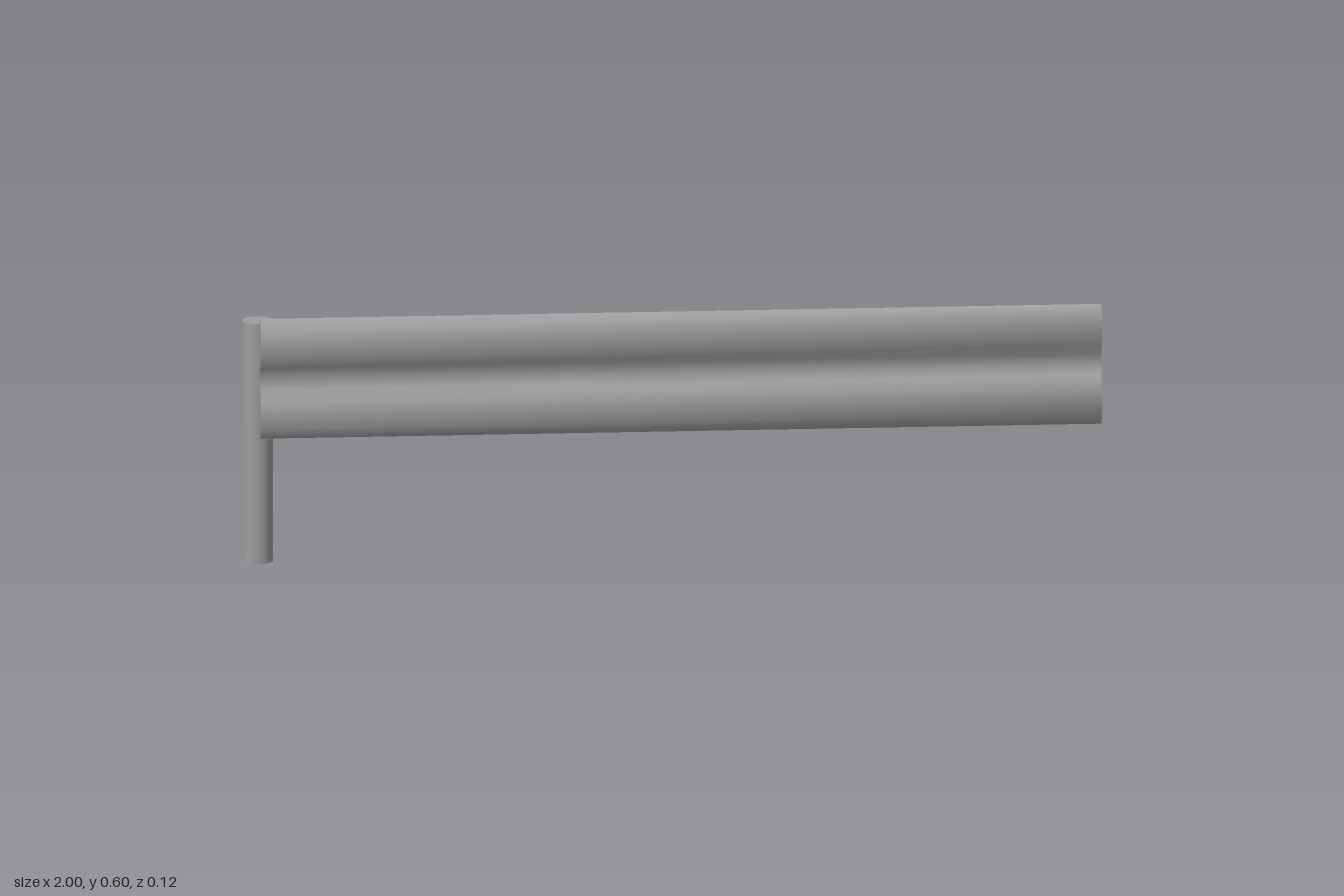
import * as THREE from 'three';
import { toCreasedNormals } from 'three/addons/utils/BufferGeometryUtils.js';

const MID_Y = 0.4525;

export function createModel() {
  const model = new THREE.Group();
  const color = 0x9c9c9c;
  const railMaterial = new THREE.MeshStandardMaterial({ color });
  const postMaterial = new THREE.MeshStandardMaterial({ color, side: THREE.DoubleSide });

  // Round hollow post at the right end, open at the foot and capped on top
  const radius = 0.0363, height = 0.577;
  const post = new THREE.Group();
  post.name = 'post';
  post.position.set(-1 + radius, 0, -0.0233);
  const tube = new THREE.Mesh(
    new THREE.CylinderGeometry(radius, radius, height, 32, 1, true), postMaterial);
  tube.name = 'postTube';
  tube.position.y = height / 2;
  const cap = new THREE.Mesh(new THREE.CircleGeometry(radius, 32), postMaterial);
  cap.name = 'postCap';
  cap.rotation.x = -Math.PI / 2;
  cap.position.y = height;
  post.add(tube, cap);
  model.add(post);

  // Upper half of the corrugated section as [z, height above middle], front face then back face
  const half = [
    [0.034, 0], [0.041, 0.025], [0.06, 0.055], [0.06, 0.117], [0.04, 0.144],
    [0.033, 0.134], [0.024, 0.13], [0.041, 0.109], [0.041, 0.062], [0.024, 0.034], [0.013, 0],
  ];
  const lower = half.slice(1, -1).reverse().map(([z, y]) => [z, -y]);
  // Negated z, because the extrusion is turned to run along +x
  const section = new THREE.Shape(
    [...half, ...lower].map(([z, y]) => new THREE.Vector2(-z, MID_Y + y)));

  // Long guard rail, smooth along the waves and sharp at the lips and ends
  const start = -0.962;
  const geometry = new THREE.ExtrudeGeometry(section, { depth: 1 - start, bevelEnabled: false });
  geometry.rotateY(Math.PI / 2);
  geometry.translate(start, 0, 0);
  const rail = new THREE.Mesh(toCreasedNormals(geometry, THREE.MathUtils.degToRad(50)), railMaterial);
  rail.name = 'guardRail';
  model.add(rail);

  return model;
}
